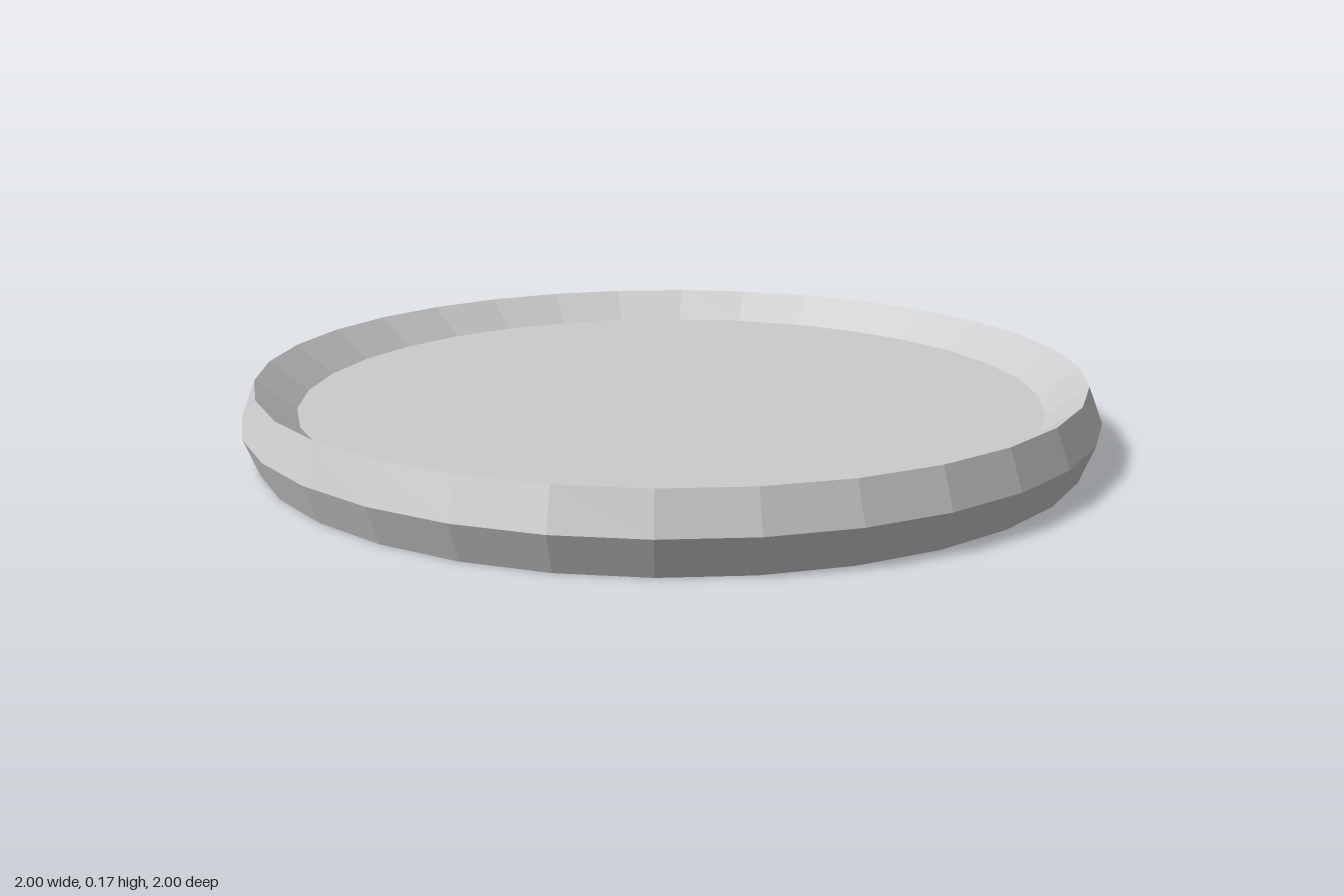
import * as THREE from 'three';

const SIDES = 32;
const FLOOR_RADIUS = 0.875, FLOOR_Y = 0.1;
const RIM_RADIUS = 0.967, HEIGHT = 0.17;

export function createModel() {
  const material = new THREE.MeshStandardMaterial({ color: 0xcccccc, flatShading: true });
  const model = new THREE.Group();
  model.name = 'tray';

  const add = (name, geometry) => {
    const mesh = new THREE.Mesh(geometry, material);
    mesh.name = name;
    model.add(mesh);
    return mesh;
  };

  // Rim: outward-bulging side, sharp top edge, slope down to the floor
  const profile = [
    [RIM_RADIUS, 0], [1, HEIGHT / 2], [RIM_RADIUS, HEIGHT], [FLOOR_RADIUS, FLOOR_Y],
  ].map(([r, y]) => new THREE.Vector2(r, y));
  add('rim', new THREE.LatheGeometry(profile, SIDES));

  // Raised inner floor
  const floor = add('floor', new THREE.CircleGeometry(FLOOR_RADIUS, SIDES));
  floor.rotation.x = -Math.PI / 2;
  floor.position.y = FLOOR_Y;

  // Flat underside
  const underside = add('underside', new THREE.CircleGeometry(RIM_RADIUS, SIDES));
  underside.rotation.x = Math.PI / 2;

  return model;
}
